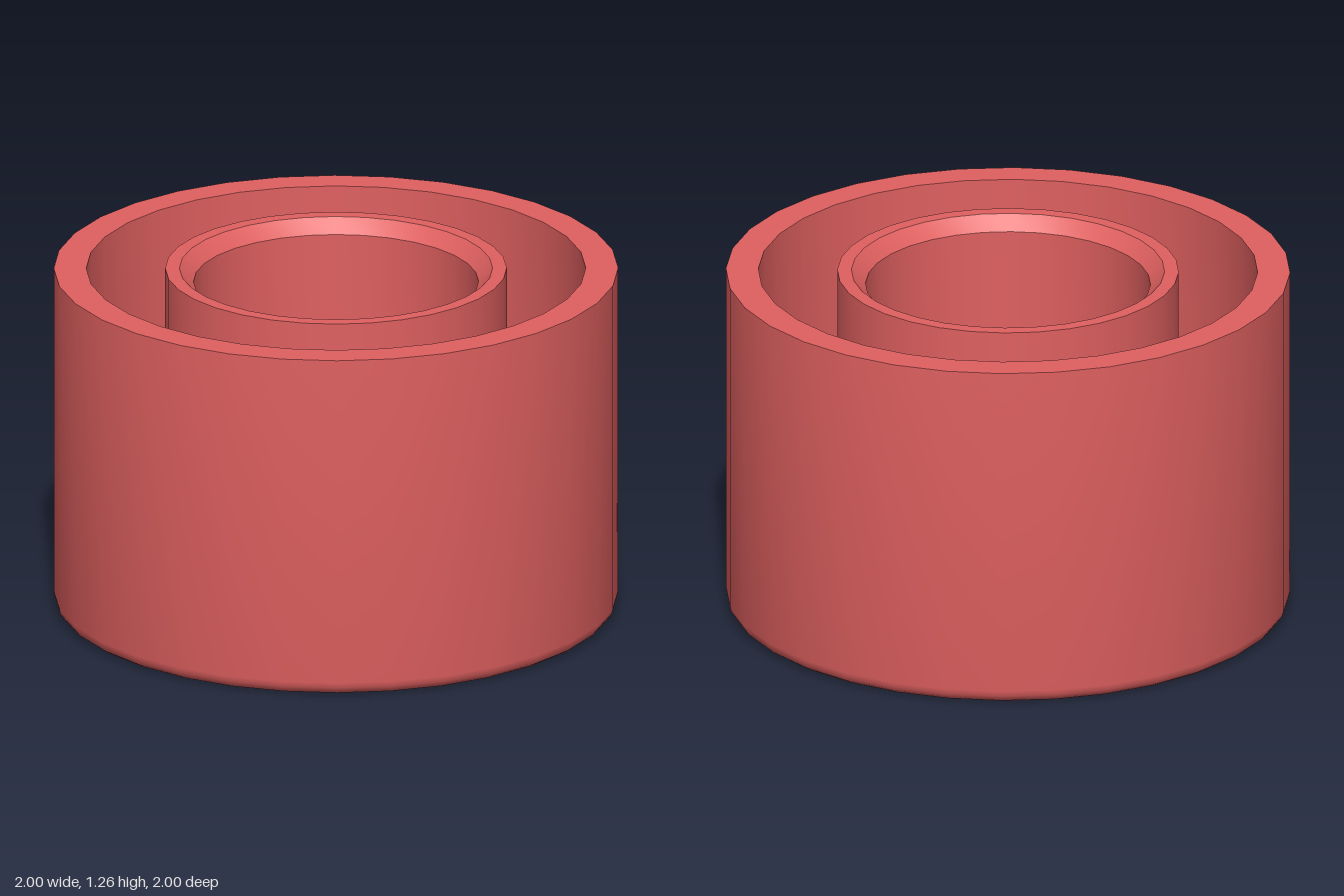
import * as THREE from 'three';
import { toCreasedNormals } from 'three/addons/utils/BufferGeometryUtils.js';

const HEIGHT = 1.26, FLOOR = 0.12, SIDES = 32;

export function createModel() {
  const group = new THREE.Group();
  group.name = 'screwCap';
  const material = new THREE.MeshStandardMaterial({ color: 0xe06060 });

  // Revolve a profile of [radius, height] pairs, keeping its corners sharp
  function addLathe(name, profile) {
    const points = profile.map(([r, y]) => new THREE.Vector2(r, y));
    const geometry = toCreasedNormals(new THREE.LatheGeometry(points, SIDES), Math.PI / 6);
    const mesh = new THREE.Mesh(geometry, material);
    mesh.name = name;
    group.add(mesh);
  }

  // Outer cup: flat base, rounded lower edge, straight wall, inner floor
  const fillet = 0.05;
  const roundedEdge = [];
  for (let i = 0; i <= 4; i++) {
    const a = (i / 4) * Math.PI / 2;
    roundedEdge.push([1 - fillet + fillet * Math.sin(a), fillet - fillet * Math.cos(a)]);
  }
  addLathe('outerCup', [
    [0, 0], ...roundedEdge,
    [1, HEIGHT], [0.885, HEIGHT], [0.885, FLOOR], [0, FLOOR],
  ]);

  // Inner collar: level with the rim, bevelled on its inside edge
  addLathe('innerCollar', [
    [0.605, FLOOR], [0.605, HEIGHT], [0.555, HEIGHT],
    [0.505, HEIGHT - 0.05], [0.505, FLOOR],
  ]);

  return group;
}
